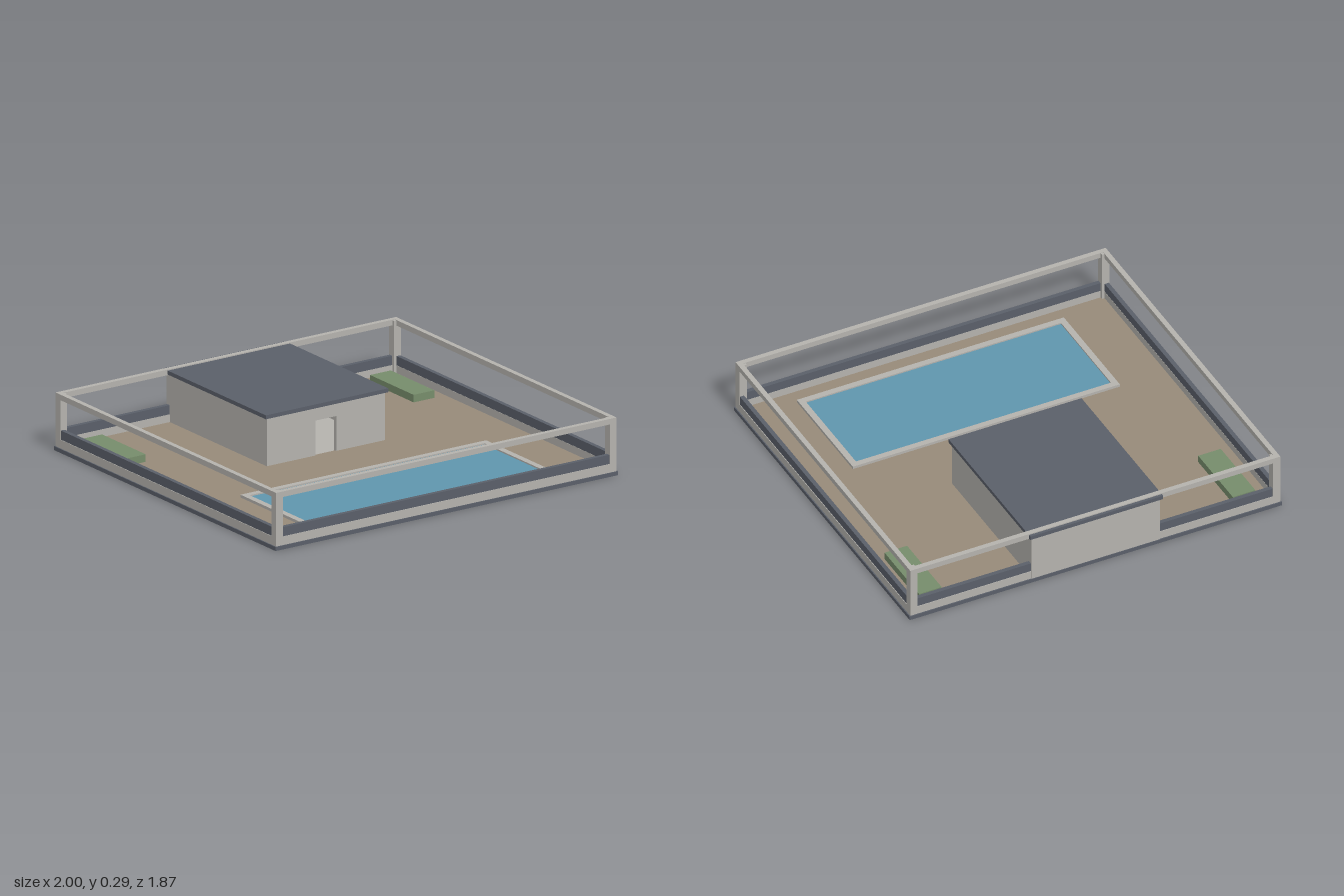
import * as THREE from 'three';

const material = (name, color) => {
  const m = new THREE.MeshStandardMaterial({ color });
  m.name = name;
  return m;
};

export function createModel() {
  const concrete = material('concrete', 0xb4b2ad);
  const slate = material('slate', 0x5a5f69);
  const earth = material('earth', 0x978a79);
  const green = material('hedge green', 0x768c6b);
  const blue = material('water blue', 0x5f95ad);

  const model = new THREE.Group();
  model.name = 'walledCourtyard';

  const add = (name, geometry, mat, parent = model) => {
    const mesh = new THREE.Mesh(geometry, mat);
    mesh.name = name;
    parent.add(mesh);
    return mesh;
  };
  const group = (name) => {
    const g = new THREE.Group();
    g.name = name;
    model.add(g);
    return g;
  };
  // Box given by its limits on each axis
  const box = (name, [x0, x1], [y0, y1], [z0, z1], mat, parent) =>
    add(name, new THREE.BoxGeometry(x1 - x0, y1 - y0, z1 - z0)
      .translate((x0 + x1) / 2, (y0 + y1) / 2, (z0 + z1) / 2), mat, parent);
  // Horizontal plate with rectangular openings; rectangles are [x0, x1, z0, z1]
  const trace = (path, [x0, x1, z0, z1]) => {
    path.moveTo(x0, -z1);
    path.lineTo(x1, -z1);
    path.lineTo(x1, -z0);
    path.lineTo(x0, -z0);
    path.closePath();
    return path;
  };
  const plate = (name, rect, openings, y0, y1, mat, parent) => {
    const shape = trace(new THREE.Shape(), rect);
    openings.forEach((o) => shape.holes.push(trace(new THREE.Path(), o)));
    const g = new THREE.ExtrudeGeometry(shape, { depth: y1 - y0, bevelEnabled: false });
    return add(name, g.rotateX(-Math.PI / 2).translate(0, y0, 0), mat, parent);
  };

  // Ground: dark plinth trim, slab with a floor opening, earth surface
  const slabArea = [-0.985, 0.985, -0.91, 0.918];
  const stairwell = [-0.33, -0.18, -0.9, -0.3];
  const ground = group('ground');
  plate('plinthTrim', [-1, 1, -0.924, 0.933], [slabArea], 0, 0.02, slate, ground);
  plate('slab', slabArea, [stairwell], 0, 0.02, concrete, ground);
  plate('courtyardFloor', [-0.97, 0.97, -0.895, 0.905], [[-0.335, 0.335, -0.894, -0.09]],
    0.02, 0.024, earth, ground);

  // Boundary wall: low kerb, dark panel, corner posts and top rail
  const fence = group('boundaryWall');
  const X = 0.994, Z0 = -0.918, Z1 = 0.928;
  const ring = (name, inset, width, y0, y1, mat) => {
    const r = (d) => [-X + d, X - d, Z0 + d, Z1 - d];
    plate(name, r(inset), [r(inset + width)], y0, y1, mat, fence);
  };
  ring('kerb', 0, 0.026, 0.02, 0.063, concrete);
  ring('darkPanel', 0.003, 0.022, 0.063, 0.109, slate);
  ring('topRail', 0, 0.026, 0.263, 0.291, concrete);
  for (const x of [-X, X - 0.04])
    for (const z of [Z0, Z1 - 0.04])
      box('cornerPost', [x, x + 0.04], [0.02, 0.289], [z, z + 0.04], concrete, fence);

  // House: open shell with a doorway, dark flat roof
  const house = group('house');
  const top = 0.266;
  for (const s of [-1, 1])
    box('sideWall', s < 0 ? [-0.345, -0.325] : [0.325, 0.345], [0.02, top], [-0.92, -0.08], concrete, house);
  box('backWall', [-0.345, 0.345], [0.02, top], [-0.921, -0.9], concrete, house);
  for (const s of [-1, 1])
    box('frontWall', s < 0 ? [-0.345, -0.062] : [0.062, 0.345], [0.02, top], [-0.1, -0.08], concrete, house);
  box('doorLintel', [-0.062, 0.062], [0.2, top], [-0.1, -0.08], concrete, house);
  box('roof', [-0.357, 0.357], [top, 0.286], [-0.933, -0.07], slate, house);

  // Pool: raised coping around a sheet of water
  const pool = group('pool');
  plate('poolCoping', [-0.717, 0.717, 0.233, 0.825], [[-0.685, 0.685, 0.264, 0.793]],
    0.022, 0.038, concrete, pool);
  box('poolWater', [-0.685, 0.685], [0.022, 0.031], [0.264, 0.793], blue, pool);

  // Planting beds either side of the house
  for (const s of [-1, 1])
    box('plantingBed', s < 0 ? [-0.903, -0.782] : [0.782, 0.903], [0.022, 0.062], [-0.832, -0.467], green);

  return model;
}
